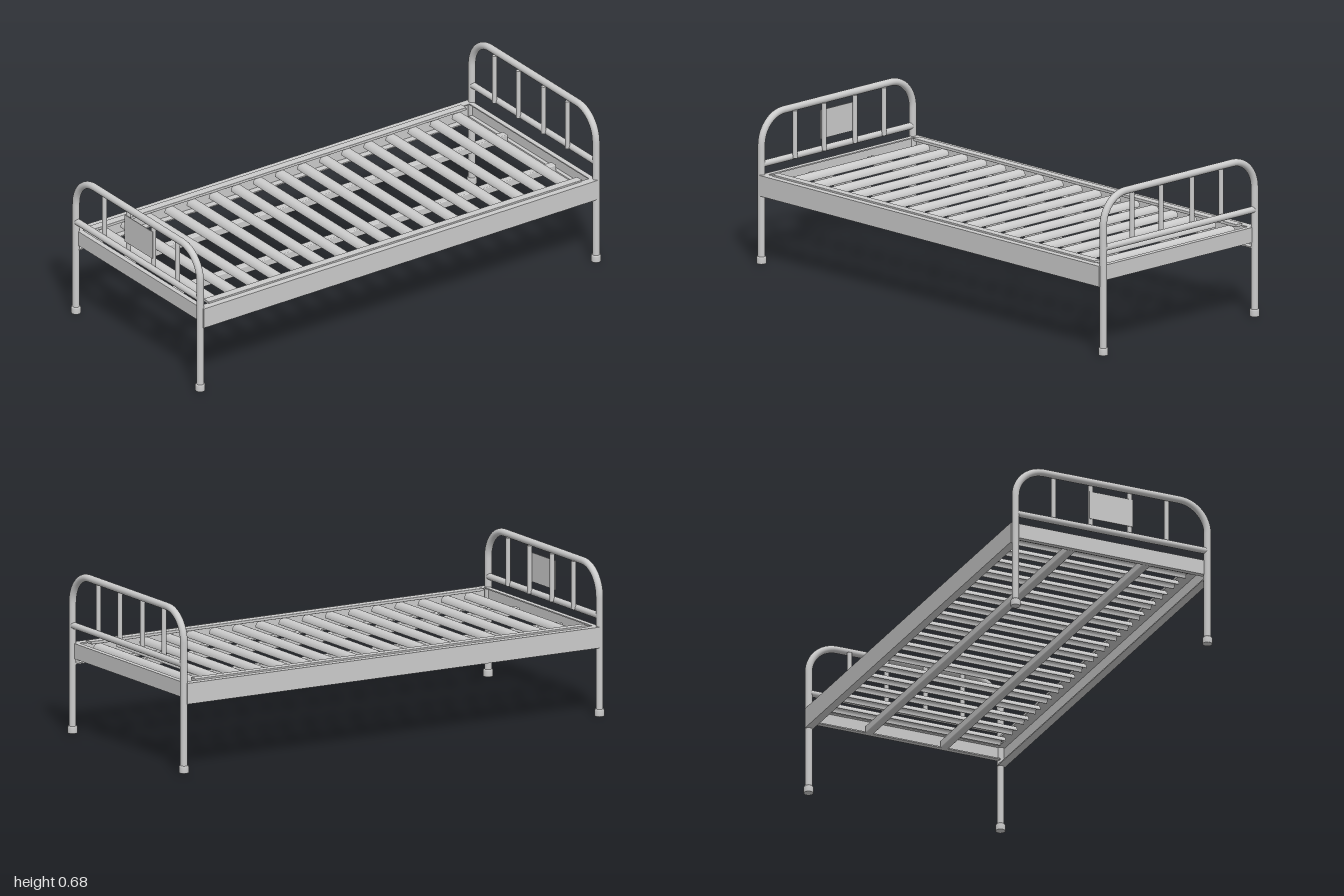
import * as THREE from 'three';
import { RoundedBoxGeometry } from 'three/addons/geometries/RoundedBoxGeometry.js';

const material = new THREE.MeshStandardMaterial({ color: 0xcccccc });
const END_Z = 0.98, POST_X = 0.425, TUBE_R = 0.015;

function add(parent, name, geometry, x = 0, y = 0, z = 0) {
  const mesh = new THREE.Mesh(geometry, material);
  mesh.name = name;
  mesh.position.set(x, y, z);
  parent.add(mesh);
  return mesh;
}

// Extrudes a closed [x, y] outline along z, centred on its length
function extrudeOutline(points, length) {
  const shape = new THREE.Shape(points.map(([x, y]) => new THREE.Vector2(x, y)));
  const geometry = new THREE.ExtrudeGeometry(shape, { depth: length, bevelEnabled: false });
  return geometry.translate(0, 0, -length / 2);
}

// C-shaped channel, web on the +x side and open towards -x
function channel(width, height, length, t = 0.005) {
  const w = width / 2, h = height / 2;
  return extrudeOutline([
    [-w, -h], [w, -h], [w, h], [-w, h],
    [-w, h - t], [w - t, h - t], [w - t, -h + t], [-w, -h + t],
  ], length);
}

// Slat: arched sheet, open underneath, lying along x
function slatGeometry() {
  const shape = new THREE.Shape();
  shape.moveTo(0.025, 0);
  shape.absellipse(0, 0, 0.025, 0.026, 0, Math.PI, false);
  shape.lineTo(-0.021, 0);
  shape.absellipse(0, 0, 0.021, 0.022, Math.PI, 0, true);
  shape.closePath();
  const geometry = new THREE.ExtrudeGeometry(shape, { depth: 0.78, bevelEnabled: false, curveSegments: 12 });
  return geometry.translate(0, 0, -0.39).rotateY(Math.PI / 2);
}

// Bent tube: up one leg, across the top and down the other
function archGeometry(top) {
  const r = 0.125, k = r * 0.448, x = POST_X;
  const v = (a, b) => new THREE.Vector3(a, b, 0);
  const path = new THREE.CurvePath();
  path.add(new THREE.LineCurve3(v(-x, 0.015), v(-x, top - r)));
  path.add(new THREE.CubicBezierCurve3(v(-x, top - r), v(-x, top - k), v(-x + k, top), v(-x + r, top)));
  path.add(new THREE.LineCurve3(v(-x + r, top), v(x - r, top)));
  path.add(new THREE.CubicBezierCurve3(v(x - r, top), v(x - k, top), v(x, top - k), v(x, top - r)));
  path.add(new THREE.LineCurve3(v(x, top - r), v(x, 0.015)));
  return new THREE.TubeGeometry(path, 140, TUBE_R, 20, false);
}

// End frame; side is +1 for the foot end and -1 for the head end
function endFrame(name, side, top, railY) {
  const frame = new THREE.Group();
  frame.name = name;
  const z = side * END_Z;
  add(frame, 'archTube', archGeometry(top), 0, 0, z);

  const rail = new THREE.CylinderGeometry(0.0135, 0.0135, POST_X * 2, 20).rotateZ(Math.PI / 2);
  add(frame, 'crossRail', rail, 0, railY, z);

  // Upright bars sit against the inside of the tubes
  const low = railY - 0.005, high = top - 0.01;
  const bar = new THREE.CylinderGeometry(0.01, 0.01, high - low, 16);
  for (const x of [-0.25, -0.086, 0.086, 0.25]) {
    add(frame, 'uprightBar', bar, x, (low + high) / 2, side * 0.966);
  }

  // Rubber feet
  const foot = new THREE.LatheGeometry([
    [0, 0], [0.019, 0], [0.02, 0.002], [0.02, 0.025], [0.018, 0.03], [0, 0.03],
  ].map(([r, y]) => new THREE.Vector2(r, y)), 24);
  for (const x of [-POST_X, POST_X]) add(frame, 'foot', foot, x, 0, z);

  // Cross channel below the mattress level
  const endRail = add(frame, 'endRail', channel(0.022, 0.063, 0.83), 0, 0.3385, side * 0.968);
  endRail.rotation.y = -side * Math.PI / 2;
  return frame;
}

export function createModel() {
  const bed = new THREE.Group();
  bed.name = 'bed';

  const footEnd = endFrame('footEnd', 1, 0.615, 0.412);
  add(footEnd, 'panel', new THREE.BoxGeometry(0.193, 0.12, 0.003), 0, 0.515, 0.977);
  bed.add(footEnd, endFrame('headEnd', -1, 0.66, 0.444));

  // Side rails with the slat-holding ledges, and the long bearers
  const sideRail = channel(0.034, 0.086, 1.95);
  const ledge = new RoundedBoxGeometry(0.036, 0.012, 1.85, 2, 0.002);
  const bearer = new RoundedBoxGeometry(0.034, 0.032, 1.92, 2, 0.004);
  for (const s of [-1, 1]) {
    const rail = add(bed, s > 0 ? 'leftSideRail' : 'rightSideRail', sideRail, s * 0.426, 0.327, 0);
    rail.rotation.y = s > 0 ? 0 : Math.PI;
    add(bed, 'slatLedge', ledge, s * 0.397, 0.371, 0.005);
    add(bed, 'bearer', bearer, s * 0.166, 0.322, 0);
  }

  // Slats
  const slat = slatGeometry();
  const count = 17;
  for (let i = 0; i < count; i++) {
    add(bed, 'slat', slat, 0, 0.34, -0.88 + (1.75 * i) / (count - 1));
  }
  return bed;
}
